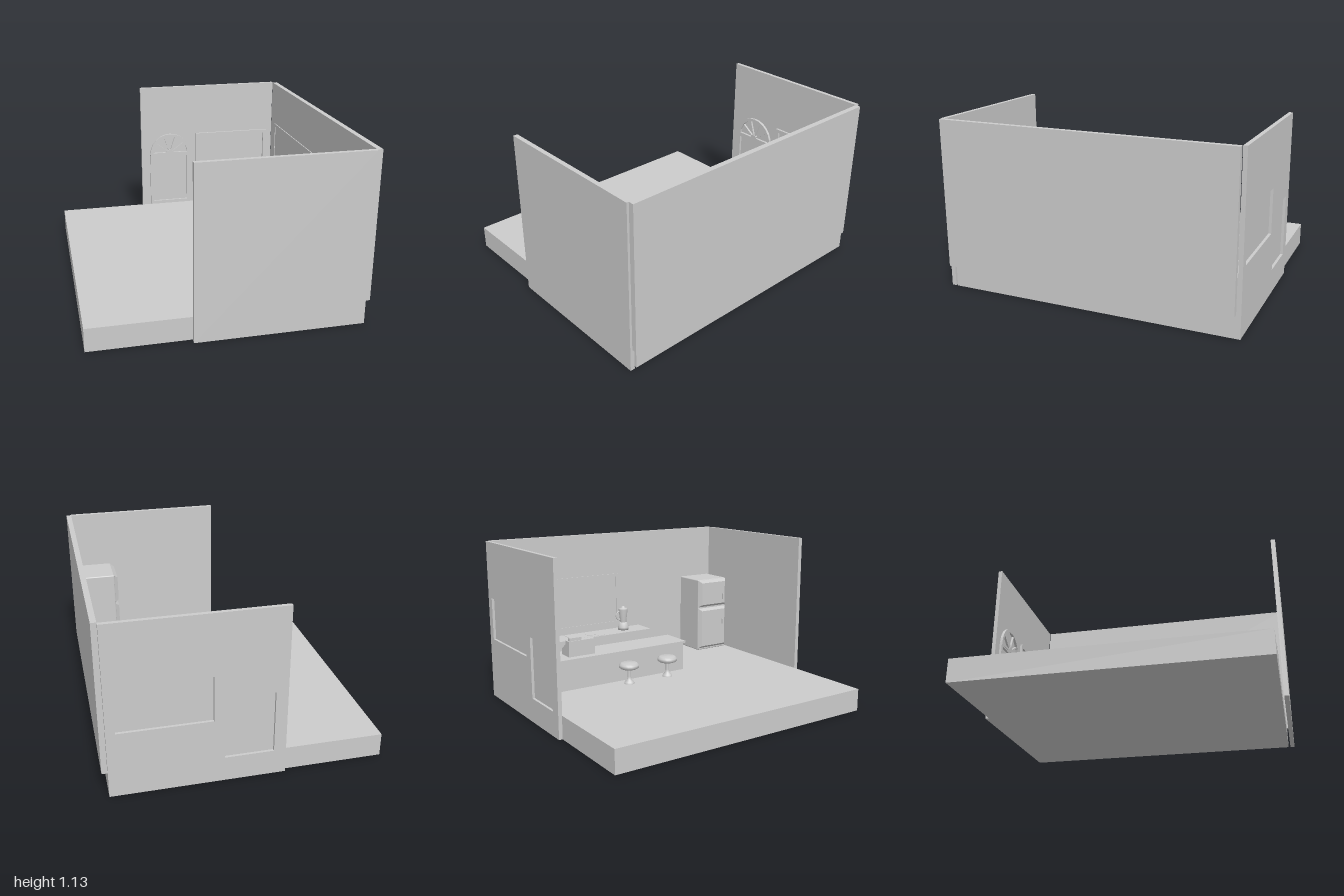
import * as THREE from 'three';
import { RoundedBoxGeometry } from 'three/addons/geometries/RoundedBoxGeometry.js';

const mat = new THREE.MeshStandardMaterial({ color: 0xcccccc });
const flat = new THREE.MeshStandardMaterial({ color: 0xcccccc, flatShading: true });

const FLOOR = 0.155, TOP = 0.375, WALL = 1.135;

function add(parent, name, geo, material = flat) {
  const m = new THREE.Mesh(geo, material);
  m.name = name;
  parent.add(m);
  return m;
}

// Box given by its limits on each axis
function box(parent, name, x0, x1, y0, y1, z0, z1) {
  const g = new THREE.BoxGeometry(x1 - x0, y1 - y0, z1 - z0);
  g.translate((x0 + x1) / 2, (y0 + y1) / 2, (z0 + z1) / 2);
  return add(parent, name, g);
}

function group(parent, name, x = 0, y = 0, z = 0) {
  const g = new THREE.Group();
  g.name = name;
  g.position.set(x, y, z);
  parent.add(g);
  return g;
}

function rect(C, x0, x1, y0, y1) {
  return new C([[x0, y0], [x1, y0], [x1, y1], [x0, y1]].map(p => new THREE.Vector2(...p)));
}

const extrude = (shape, depth, curveSegments = 6) =>
  new THREE.ExtrudeGeometry(shape, { depth, bevelEnabled: false, curveSegments });

// Flat rectangular frame in the XY plane
function frameGeo(x0, x1, y0, y1, w, depth) {
  const s = rect(THREE.Shape, x0, x1, y0, y1);
  s.holes.push(rect(THREE.Path, x0 + w, x1 - w, y0 + w, y1 - w));
  return extrude(s, depth);
}

const lathe = (pts, n) => new THREE.LatheGeometry(pts.map(p => new THREE.Vector2(...p)), n);

function buildWalls(root) {
  const g = group(root, 'walls');
  box(g, 'frontWall', -0.24, 0.855, 0, WALL, 0.97, 1);
  box(g, 'sideWall', 0.855, 0.89, 0.15, WALL, -0.97, 0.985);

  // Back wall with openings for a window and a door
  const openings = [['window', 0.215, 0.797, 0.435, 0.735], ['door', -0.163, 0.147, 0.165, 0.58]];
  const s = rect(THREE.Shape, -0.24, 0.855, 0, WALL);
  for (const [, ...r] of openings) s.holes.push(rect(THREE.Path, ...r));
  add(g, 'backWall', extrude(s, 0.027)).position.z = -1;
  for (const [name, x0, x1, y0, y1] of openings) {
    box(g, name + 'Panel', x0, x1, y0, y1, -0.982, -0.976);
    add(g, name + 'Frame', frameGeo(x0 - 0.01, x1 + 0.01, y0 - 0.005, y1 + 0.01, 0.025, 0.016)).position.z = -0.973;
  }

  // Fan light above the door: ring, hub and spokes
  const fan = group(g, 'fanLight', -0.008, 0.59, -0.973);
  const arch = new THREE.Shape();
  arch.absarc(0, 0, 0.162, 0, Math.PI, false);
  arch.absarc(0, 0, 0.14, Math.PI, 0, true);
  add(fan, 'fanRing', extrude(arch, 0.018));
  const hub = new THREE.Shape();
  hub.absarc(0, 0, 0.03, 0, Math.PI, false);
  add(fan, 'fanHub', extrude(hub, 0.018));
  box(fan, 'fanSill', -0.162, 0.162, -0.012, 0.008, 0, 0.018);
  for (let i = 1; i < 5; i++) {
    const spoke = new THREE.BoxGeometry(0.125, 0.01, 0.014);
    spoke.translate(0.083, 0, 0.007);
    add(fan, 'fanSpoke', spoke).rotation.z = i * Math.PI / 5;
  }

  // Window on the side wall, facing the room
  const win = frameGeo(-0.07, 0.87, 0.41, 0.815, 0.022, 0.008);
  const w = add(g, 'sideWindowFrame', win);
  w.rotation.y = Math.PI / 2;
  w.position.x = 0.848;
  box(g, 'sideWindowPane', 0.853, 0.858, 0.42, 0.805, -0.86, 0.06);
}

// U-shaped outline seen from above, with z taken as the shape's -y
function counterShape(inset) {
  const a = 0.18 + inset, b = 0.42 - inset, c = 0.67 + inset, d = 0.85;
  const end = -0.255 + inset, back = 0.972, inner = 0.79 + inset, r = 0.11;
  const s = new THREE.Shape();
  s.moveTo(a, end);
  s.lineTo(b, end);
  s.lineTo(b, inner);
  s.lineTo(c, inner);
  s.lineTo(c, end);
  s.lineTo(d, end);
  s.lineTo(d, back);
  s.lineTo(a + r, back);
  s.quadraticCurveTo(a, back, a, back - r);
  return s;
}

function buildCounter(root) {
  const g = group(root, 'counter');
  const base = add(g, 'counterBase', extrude(counterShape(0.015), TOP - 0.014 - FLOOR));
  base.position.y = FLOOR;
  const top = add(g, 'counterTop', extrude(counterShape(0), 0.014));
  top.position.y = TOP - 0.014;
  base.rotation.x = top.rotation.x = -Math.PI / 2;

  // Sink plate and drain
  box(g, 'sinkPlate', 0.685, 0.835, TOP - 0.003, TOP + 0.002, -0.425, -0.15);
  add(g, 'sinkDrain', new THREE.CylinderGeometry(0.044, 0.044, 0.004, 20)).position.set(0.763, TOP + 0.002, -0.237);
}

function buildCounterItems(root) {
  // Cooking pot on a ring of prongs
  const pot = group(root, 'cookingPot', 0.775, TOP, -0.61);
  add(pot, 'potBody', lathe([[0, 0.012], [0.062, 0.012], [0.07, 0.03], [0.07, 0.075], [0.066, 0.082], [0.03, 0.094], [0, 0.097]], 20), mat);
  for (let i = 0; i < 8; i++) {
    const prong = new THREE.BoxGeometry(0.04, 0.012, 0.007);
    prong.translate(0.07, 0.006, 0);
    add(pot, 'burnerProng', prong).rotation.y = (i + 0.5) * Math.PI / 4;
  }
  box(pot, 'potHandle', -0.1, -0.065, 0.058, 0.068, -0.006, 0.006);

  // Blender: base, jar, lid and handle
  const bl = group(root, 'blender', 0.775, TOP, 0.067);
  add(bl, 'blenderBase', lathe([[0, 0], [0.043, 0], [0.043, 0.02], [0.03, 0.06], [0, 0.06]], 16), mat);
  add(bl, 'blenderJar', lathe([[0.024, 0.06], [0.036, 0.16], [0.032, 0.172], [0.014, 0.174], [0.012, 0.186], [0, 0.188]], 16), mat);
  const loop = new THREE.TorusGeometry(0.034, 0.005, 6, 12, Math.PI);
  loop.rotateZ(Math.PI / 2);
  loop.rotateY(-Math.PI / 2);
  add(bl, 'blenderHandle', loop, mat).position.set(0, 0.115, -0.03);

  // Cash register: drawer, sloped key bank and display
  const reg = group(root, 'cashRegister', 0, TOP, 0);
  const side = new THREE.Shape([[0.237, 0], [0.35, 0], [0.35, 0.04], [0.292, 0.08], [0.285, 0.11], [0.237, 0.11]]
    .map(p => new THREE.Vector2(...p)));
  add(reg, 'registerBody', extrude(side, 0.2)).position.z = -0.68;
  box(reg, 'registerDisplay', 0.245, 0.27, 0.11, 0.13, -0.67, -0.58);
}

function buildStool(root, z) {
  const g = group(root, 'stool', 0.11, FLOOR, z);
  add(g, 'stoolSeat', lathe([[0, 0.11], [0.058, 0.11], [0.071, 0.12], [0.071, 0.138], [0.055, 0.15], [0, 0.154]], 20), mat);
  add(g, 'stoolStem', lathe([[0.036, 0], [0.034, 0.012], [0.016, 0.03], [0.012, 0.05], [0.012, 0.112]], 14), mat);
}

function buildFridge(root) {
  const g = group(root, 'fridge');
  const body = new RoundedBoxGeometry(0.255, 0.585, 0.275, 2, 0.008);
  body.translate(0.7125, FLOOR + 0.2925, 0.803);
  add(g, 'fridgeBody', body, mat);
  // Doors bulge towards the room, narrowing at their outer face
  for (const [y0, y1, hy] of [[0.17, 0.505, 0.38], [0.515, 0.735, 0.59]]) {
    const h = y1 - y0, d = 0.27;
    const door = new THREE.BoxGeometry(0.026, h, d);
    const p = door.attributes.position;
    for (let i = 0; i < p.count; i++) {
      if (p.getX(i) < 0) {
        p.setY(i, p.getY(i) * (1 - 0.04 / h));
        p.setZ(i, p.getZ(i) * (1 - 0.04 / d));
      }
    }
    door.translate(0.573, (y0 + y1) / 2, 0.803);
    add(g, 'fridgeDoor', door);
    box(g, 'fridgeHandle', 0.545, 0.563, hy - 0.022, hy + 0.022, 0.89, 0.902);
  }
}

export function createModel() {
  const root = new THREE.Group();
  root.name = 'kitchenDiorama';
  box(root, 'floor', -0.89, 0.855, 0, FLOOR, -0.975, 0.957);
  buildWalls(root);
  buildCounter(root);
  buildCounterItems(root);
  for (const z of [-0.28, 0.043]) buildStool(root, z);
  buildFridge(root);
  return root;
}
